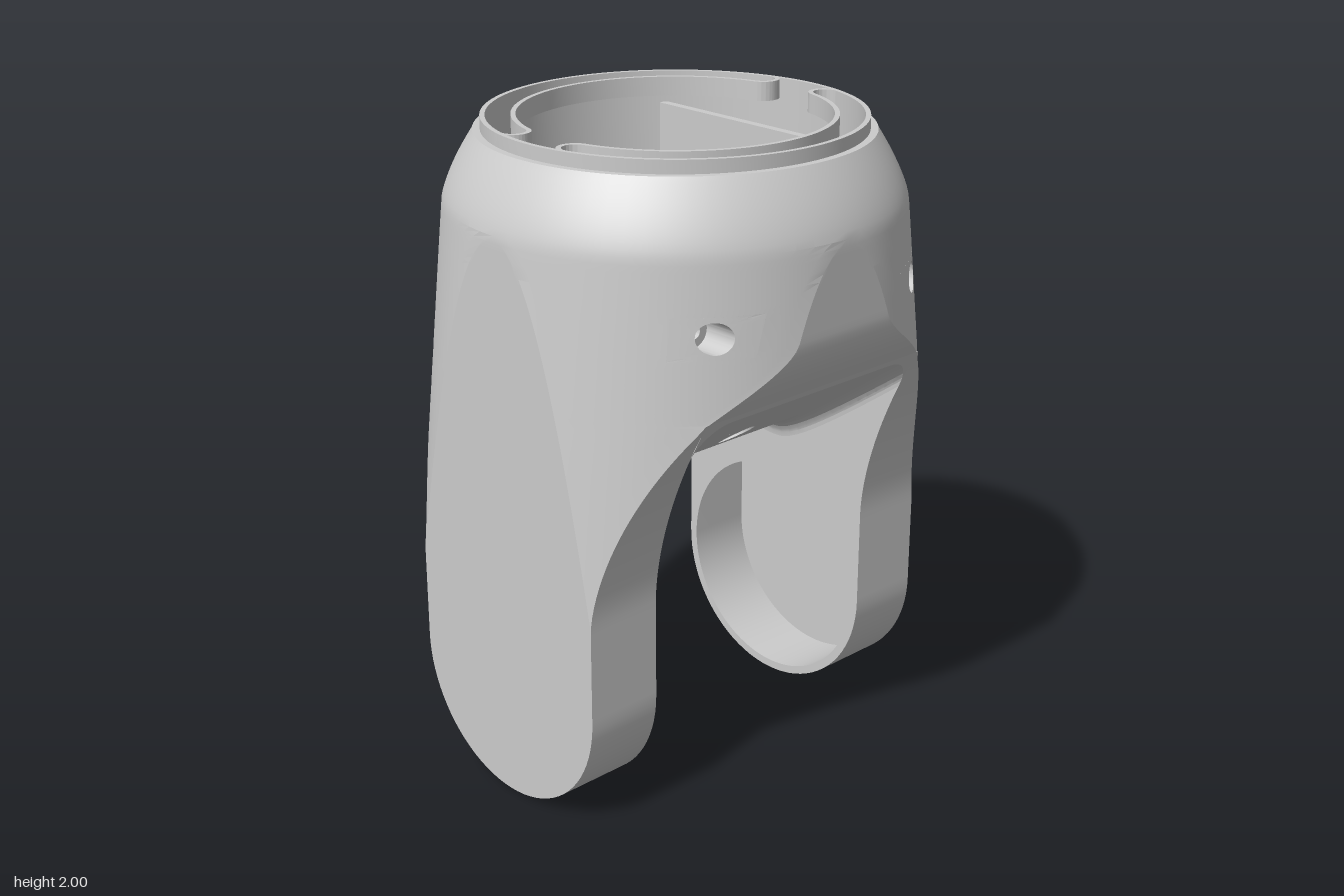
import * as THREE from 'three';
import { toCreasedNormals } from 'three/addons/utils/BufferGeometryUtils.js';

const material = new THREE.MeshStandardMaterial({ color: 0xcccccc, side: THREE.DoubleSide });
const FLAT = 0.69, GAP = 0.44, JOIN = 1.3, TIP = 0.387, DEEP = 0.66;

// Radius of the slightly conical skin, which narrows to the neck
const skin = y => y < 1.75 ? FLAT + 0.095 * (1.75 - y) : FLAT - 0.1 * ((y - 1.75) / 0.21) ** 1.4;

// Half width of the front outline
function halfWidth(y) {
  if (y < TIP) return Math.sqrt(Math.max(0, TIP * TIP - (TIP - y) ** 2));
  if (y < 0.7) return TIP;
  if (y <= JOIN) return TIP + 0.205 * ((y - 0.7) / 0.6) ** 1.7;
  return 0.592 + 0.098 * Math.sin(Math.PI / 2 * Math.min(1, (y - JOIN) / 0.2));
}

const range = (n, f) => Array.from({ length: n + 1 }, (_, i) => f(i));

// Surface P(u, v) over a grid; each hole [i0, i1, j0, j1] becomes a screw recess sunk along -x
function grid(P, us, vs, flip = false, holes = []) {
  const pos = [], idx = [], nv = vs.length;
  const quad = (a, b, c, d) => flip ? idx.push(a, c, b, b, c, d) : idx.push(a, b, c, b, d, c);
  for (const u of us) for (const v of vs) pos.push(...P(u, v));
  for (let i = 0; i < us.length - 1; i++) for (let j = 0; j < nv - 1; j++) {
    if (holes.some(h => i >= h[0] && i < h[1] && j >= h[2] && j < h[3])) continue;
    quad(i * nv + j, (i + 1) * nv + j, i * nv + j + 1, (i + 1) * nv + j + 1);
  }
  for (const [i0, i1, j0, j1] of holes) {
    const u = (us[i0] + us[i1]) / 2, v = (vs[j0] + vs[j1]) / 2;
    const hu = (us[i1] - us[i0]) / 2, hv = (vs[j1] - vs[j0]) / 2;
    const c = P(u, v), e = 0.004, pu = P(u + e, v), pv = P(u, v + e);
    const zu = (pu[2] - c[2]) / e, zv = (pv[2] - c[2]) / e, yv = (pv[1] - c[1]) / e;
    const n = 48, start = pos.length / 3;
    // Rings [blend from square to circle, scale, depth]: patch, rim, seat, pilot, centre
    const rings = [[0, 1, 0], [0.35, 1, 0], [0.7, 1, 0], [1, 1, 0], [1, 1, 0.08], [1, 0.45, 0.08], [1, 0.45, 0.15], [1, 0, 0.15]];
    for (const [t, s, depth] of rings) for (let k = 0; k <= n; k++) {
      const a = k / n * Math.PI * 2, x = Math.cos(a), y = Math.sin(a), m = Math.max(Math.abs(x), Math.abs(y));
      const dv = 0.045 * y / yv, du = (0.045 * x * Math.sign(zu) - zv * dv) / zu;
      const p = P(u + hu * x / m * (1 - t) + du * t, v + hv * y / m * (1 - t) + dv * t);
      pos.push(depth ? c[0] - depth : p[0], c[1] + (p[1] - c[1]) * s, c[2] + (p[2] - c[2]) * s);
    }
    for (let r = 0; r < rings.length - 1; r++) for (let k = 0; k < n; k++) {
      const a = start + r * (n + 1) + k;
      quad(a, a + n + 1, a + 1, a + n + 2);
    }
  }
  const g = new THREE.BufferGeometry();
  g.setAttribute('position', new THREE.Float32BufferAttribute(pos, 3));
  g.setIndex(idx);
  return toCreasedNormals(g, 0.22);
}

// One quarter of the body section: side flat, arc, front flat
function corner(t, y) {
  const r = skin(y), x = Math.min(halfWidth(y), r), z = Math.min(FLAT, r);
  const a0 = Math.acos(x / r), a1 = Math.asin(z / r);
  if (t < 1 / 3) return [x, 3 * t * r * Math.sin(a0)];
  if (t > 2 / 3) return [r * Math.cos(a1) * (3 - 3 * t), z];
  const a = a0 + (a1 - a0) * (3 * t - 1);
  return [r * Math.cos(a), r * Math.sin(a)];
}

function bodyPoint(u, y) {
  const q = Math.min(3, Math.floor(u)), t = u - q;
  const [x, z] = corner(q % 2 ? 1 - t : t, y);
  return [q === 1 || q === 2 ? -x : x, y, q > 1 ? -z : z];
}

// Rounded-V underside between the legs, with a fillet that widens outwards
const vee = x => 0.92 + 0.72 * (Math.sqrt(x * x + 0.01) - 0.1);
function crotchPoint(z, v) {
  if (Math.abs(v) > 1.001) return [Math.sign(v) * halfWidth(JOIN), JOIN, z];
  const r = 0.06 + 0.05 * Math.abs(v), d = Math.max(0, Math.abs(z) - GAP + r) / r;
  const f = r * (1 - Math.sqrt(Math.max(0, 1 - d * d)));
  return [v * halfWidth(1.28 - f), vee(v * 0.592) - f, z];
}

// C-shaped band outline in the neck
function bandPath(path, inner, outer) {
  const a = Math.PI / 2 - 0.26, mid = (inner + outer) / 2, r = (outer - inner) / 2;
  path.absarc(0, 0, outer, -a, a, false);
  path.absarc(mid * Math.cos(a), mid * Math.sin(a), r, a, a + Math.PI, false);
  path.absarc(0, 0, inner, a, -a, true);
  path.absarc(mid * Math.cos(a), -mid * Math.sin(a), r, Math.PI - a, 2 * Math.PI - a, false);
  return path;
}

export function createModel() {
  const model = new THREE.Group();
  const add = (name, geometry, parent = model) => {
    const mesh = new THREE.Mesh(geometry, material);
    mesh.name = name;
    parent.add(mesh);
    return mesh;
  };

  // Body skin with two screw recesses on the left
  add('body', grid(bodyPoint, range(216, i => i / 54), range(33, i => JOIN + 0.02 * i), true,
    [[21, 27, 9, 15], [189, 195, 9, 15]]));

  // Underside with one screw recess
  const zHalf = [0.1, 0.22, 0.33, 0.35, 0.37, 0.385, 0.4, 0.415, 0.427, 0.435, 0.438, 0.44];
  const zs = [...zHalf.map(z => -z).reverse(), ...zHalf];
  const vs = [-1.1, ...range(30, i => (i - 15) / 15), 1.1];
  add('underside', grid(crotchPoint, zs, vs, true, [[11, 12, 20, 26]]));

  // Neck step, lip and inner wall
  const rim = [[0.593, 1.96], [0.57, 1.96], [0.57, 2], [0.555, 2], [0.555, JOIN]];
  add('neckRim', toCreasedNormals(new THREE.LatheGeometry(rim.map(p => new THREE.Vector2(...p)), 96), 0.5));

  // Ridge across the floor, covering the lower screw
  const floorXs = range(30, i => (i - 15) * 0.037);
  add('lowerScrewBoss', grid((a, x) => {
    const floor = vee(x) + 0.04;
    const y = a < 0 || a > Math.PI ? floor : Math.max(floor, 1.06 + 0.1 * Math.sin(a));
    return [x, y, 0.1 * Math.cos(Math.min(Math.PI, Math.max(0, a)))];
  }, [-0.1, ...range(20, i => i / 20 * Math.PI), 3.3], floorXs, true));

  // Inner floor beside the ridge, following the underside
  const innerFloor = grid((z, x) => [x, vee(x) + 0.04, z], [0.1, 0.35], floorXs);

  // Leg pieces
  const ys = [...range(20, i => TIP * (1 - Math.cos(i / 20 * Math.PI / 2))), ...range(30, i => 0.4 + i * 0.03)];
  const outerZ = (x, y) => Math.min(FLAT, Math.sqrt(skin(y) ** 2 - x * x));
  const legSkin = grid((u, y) => {
    const X = halfWidth(y), w = Math.min(X, Math.sqrt(skin(y) ** 2 - FLAT * FLAT)), a = Math.abs(u);
    const x = Math.sign(u) * (a < 0.5 ? 2 * a * w : w + (X - w) * (2 * a - 1));
    return [x, y, outerZ(x, y)];
  }, range(24, i => i / 12 - 1), ys);
  const legEdge = side => grid((t, y) => {
    const x = halfWidth(y);
    return [side * x, y, GAP + t * (outerZ(x, y) - GAP)];
  }, [0, 1], ys, side > 0);
  const face = new THREE.Shape([...ys.map(y => new THREE.Vector2(halfWidth(y), y)),
    ...ys.slice(1).reverse().map(y => new THREE.Vector2(-halfWidth(y), y))]);
  face.holes.push(new THREE.Path().absarc(0, TIP, 0.36, 0, Math.PI * 2, true));

  // Leg cavity: round at the bottom, straight sides running up behind the inner face
  const cavity = new THREE.Shape().moveTo(-0.36, 1.1).lineTo(-0.36, TIP);
  cavity.absarc(0, TIP, 0.36, Math.PI, Math.PI * 2, false).lineTo(0.36, 1.1);
  const rimPoints = cavity.getPoints(32);
  const cavityWall = grid((t, i) => [rimPoints[i].x, rimPoints[i].y, t], [GAP, DEEP], range(rimPoints.length - 1, i => i));

  // Partition wall with its lower edge on the floor
  const lower = range(20, i => (i - 10) * 0.043).map(x => new THREE.Vector2(x, vee(x) + 0.02));
  const partition = new THREE.ExtrudeGeometry(
    new THREE.Shape([...lower, new THREE.Vector2(0.43, 1.9), new THREE.Vector2(-0.43, 1.9)]),
    { depth: 0.028, bevelEnabled: false });

  // Channel wall: a closed band around a slot
  const channel = bandPath(new THREE.Shape(), 0.465, 0.57);
  channel.holes.push(bandPath(new THREE.Path(), 0.48, 0.555));
  const channelWall = toCreasedNormals(
    new THREE.ExtrudeGeometry(channel, { depth: 0.06, bevelEnabled: false, curveSegments: 48 }), 0.5);

  // Shelf above each leg
  const chord = Math.acos(0.35 / 0.56);
  const shelf = new THREE.ShapeGeometry(new THREE.Shape().absarc(0, 0, 0.56, Math.PI / 2 - chord, Math.PI / 2 + chord, false), 32);

  // Each half repeats, turned half a revolution
  for (const [name, turn] of [['front', 0], ['back', Math.PI]]) {
    const half = new THREE.Group();
    half.name = name + 'Half';
    half.rotation.y = turn;
    model.add(half);
    add(name + 'LegSkin', legSkin, half);
    add(name + 'LegLeftEdge', legEdge(1), half);
    add(name + 'LegRightEdge', legEdge(-1), half);
    add(name + 'LegInnerFace', new THREE.ShapeGeometry(face, 64), half).position.z = GAP;
    add(name + 'CavityWall', cavityWall, half);
    add(name + 'CavityEnd', new THREE.ShapeGeometry(cavity, 32), half).position.z = DEEP;

    // Inner floor, partition, shelf and upper screw boss
    add(name + 'InnerFloor', innerFloor, half);
    add(name + 'Partition', partition, half).position.z = 0.337;
    const ledge = add(name + 'Shelf', shelf, half);
    ledge.rotation.x = Math.PI / 2;
    ledge.position.y = 1.31;
    const upper = add(name + 'ScrewBoss', new THREE.CylinderGeometry(0.055, 0.055, 0.84, 24), half);
    upper.rotation.z = Math.PI / 2;
    upper.position.set(0, 1.54, 0.41);

    // Channel wall on one side of the neck
    const slot = add(name === 'front' ? 'leftChannel' : 'rightChannel', channelWall, half);
    slot.rotation.x = Math.PI / 2;
    slot.position.y = 2;
  }
  return model;
}
